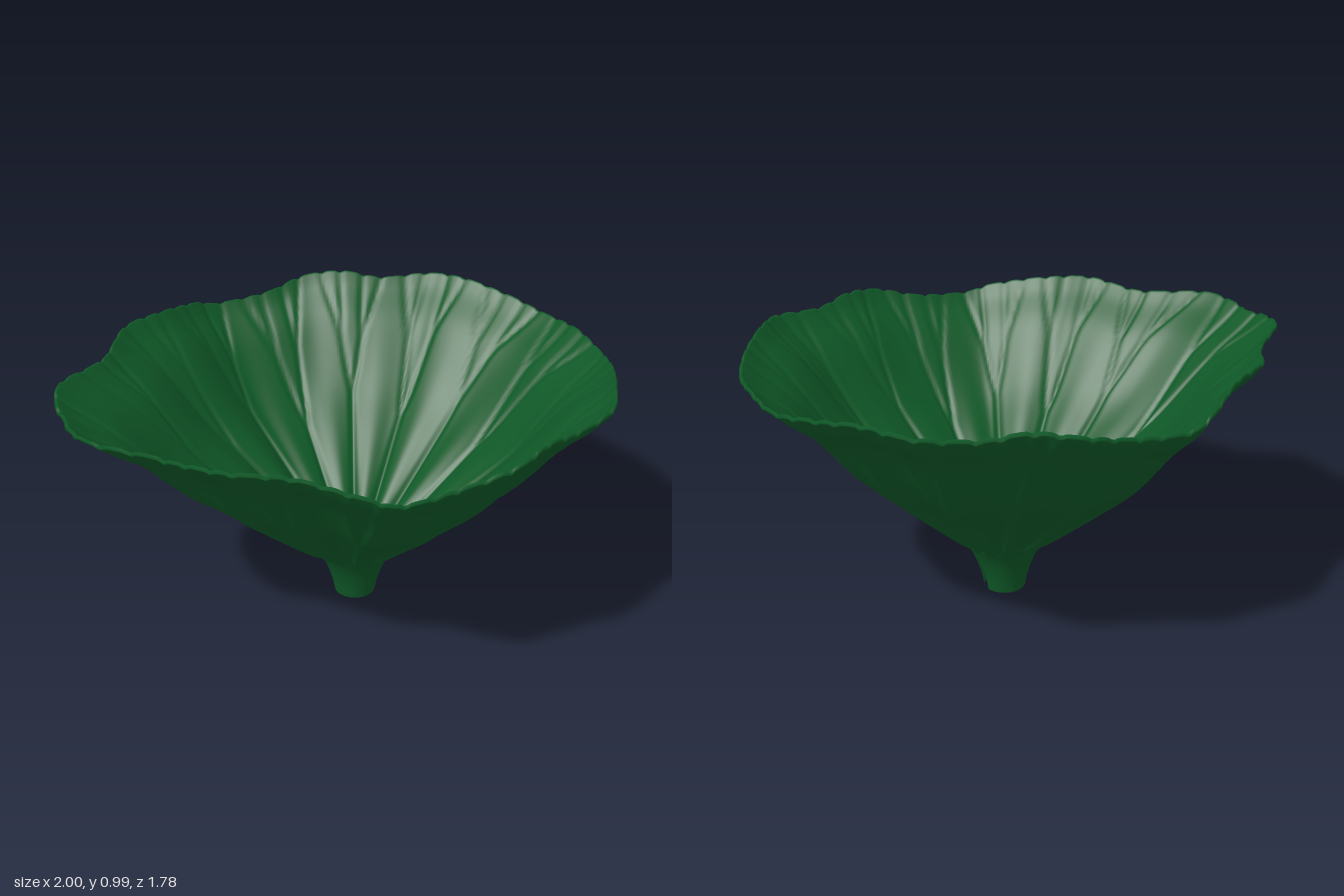
import * as THREE from 'three';

const CX = 0.07;              // the stem axis sits a little off centre
const STEM_R = 0.15, STEM_Y = 0.19;
const VEINS = 16;
const COLS = 476, ROWS = 52;

// Half of the wavy rim: x, height, z
const HALF_RIM = [
  [1, 0.94, 0], [0.98, 0.93, 0.2], [0.91, 0.955, 0.38], [0.8, 0.98, 0.56], [0.7, 0.97, 0.69],
  [0.52, 0.955, 0.76], [0.37, 0.98, 0.83], [0.22, 0.96, 0.89], [0.05, 0.92, 0.875], [-0.16, 0.905, 0.875],
  [-0.27, 0.935, 0.84], [-0.45, 0.975, 0.71], [-0.62, 0.98, 0.61], [-0.73, 0.955, 0.45],
  [-0.8, 0.957, 0.37], [-0.95, 0.97, 0.24], [-0.995, 0.96, 0.1], [-0.99, 0.95, 0],
];

function makeRim() {
  const mirrored = HALF_RIM.slice(1, -1).reverse().map(([x, y, z]) => [x, y, -z]);
  const points = [...HALF_RIM, ...mirrored].map((p) => new THREE.Vector3(...p));
  return new THREE.CatmullRomCurve3(points, true, 'catmullrom', 0.5);
}

// Cross-section from stem to rim: share of the radius, share of the height
const PROFILE = new THREE.CatmullRomCurve3([
  [0, 0], [0.06, 0.065], [0.154, 0.145], [0.37, 0.342], [0.54, 0.505], [0.78, 0.8], [0.935, 0.935], [1, 1],
].map(([p, q]) => new THREE.Vector3(p, q, 0)));

// Height change from the forking veins and the pleats between them
function relief(theta, p, r) {
  const sector = (theta / (2 * Math.PI)) * VEINS;
  const index = Math.round(sector);
  const a = Math.abs(sector - index);
  const fork = index % 2 ? 0.6 : 0.48;
  const first = p > fork ? 0.25 * Math.pow((p - fork) / (1 - fork), 0.6) : 0;
  const second = p > 0.78 ? 0.11 * Math.pow((p - 0.78) / 0.22, 0.6) : 0;
  const gap = Math.min(Math.abs(a - first - second), Math.abs(a - first + second));
  const d = (gap * 2 * Math.PI * r) / VEINS;
  const fade = Math.min(1, p * 12) * (1 - 0.5 * p);
  const groove = -0.017 * fade * Math.exp(-((d / 0.013) ** 2));
  const pleat = 0.05 * Math.sqrt(p) * (1 - p) * (0.5 - 0.5 * Math.cos(2 * Math.PI * a));
  return groove + pleat;
}

// One skin: up the outside, over the rim, down the inside
function makeLeaf() {
  const rim = makeRim();
  const columns = Array.from({ length: COLS }, (_, i) => {
    const v = rim.getPoint(i / COLS);
    return { theta: Math.atan2(v.z, v.x - CX), R: Math.hypot(v.x - CX, v.z), y: v.y };
  });
  const section = Array.from({ length: ROWS }, (_, i) => PROFILE.getPoint(i / (ROWS - 1)));
  const rows = [
    ...section.map((s) => ({ s, inside: 0 })),
    ...section.slice().reverse().map((s) => ({ s, inside: 1 })),
  ];
  const position = [], index = [];
  for (const { s, inside } of rows) {
    for (const { theta, R, y } of columns) {
      const p = s.x + 0.4 * Math.sin(theta) ** 2 * s.y * s.y * (1 - s.y);
      const r = STEM_R + (R - STEM_R) * p;
      const h = STEM_Y + (y - STEM_Y) * s.y + relief(theta, p, r);
      const rr = r - 0.007 * inside;
      position.push(CX + rr * Math.cos(theta), h + 0.009 * inside, rr * Math.sin(theta));
    }
  }
  for (let j = 0; j < rows.length - 1; j++) {
    for (let i = 0; i < COLS; i++) {
      const a = j * COLS + i, b = j * COLS + ((i + 1) % COLS);
      index.push(a, a + COLS, b, b, a + COLS, b + COLS);
    }
  }
  const geometry = new THREE.BufferGeometry();
  geometry.setAttribute('position', new THREE.Float32BufferAttribute(position, 3));
  geometry.setIndex(index);
  geometry.computeVertexNormals();
  return geometry;
}

function lathe(points, start = 0, length = Math.PI * 2) {
  return new THREE.LatheGeometry(points.map(([r, y]) => new THREE.Vector2(r, y)), 64, start, length);
}

export function createModel() {
  const group = new THREE.Group();
  group.name = 'lotusLeaf';
  const green = new THREE.MeshStandardMaterial({ color: 0x0f5827, side: THREE.DoubleSide });
  green.name = 'leafGreen';

  const add = (name, geometry, x = 0) => {
    const mesh = new THREE.Mesh(geometry, green);
    mesh.name = name;
    mesh.position.x = x;
    group.add(mesh);
  };

  add('leaf', makeLeaf());

  // Hollow flared stem with a narrow slit on its +x side
  const slit = 0.21;
  add('stem', lathe(
    [[0.078, 0], [0.088, 0.05], [0.103, 0.1], [0.123, 0.15], [STEM_R, STEM_Y]],
    Math.PI / 2 + slit, Math.PI * 2 - 2 * slit,
  ), CX);

  // Small sunken disc at the bottom of the funnel
  add('centreDisc', lathe(
    [[0.143, 0.199], [0.118, 0.184], [0.104, 0.178], [0.099, 0.168], [0.092, 0.174], [0.04, 0.172], [0, 0.17]],
  ), CX);

  return group;
}
